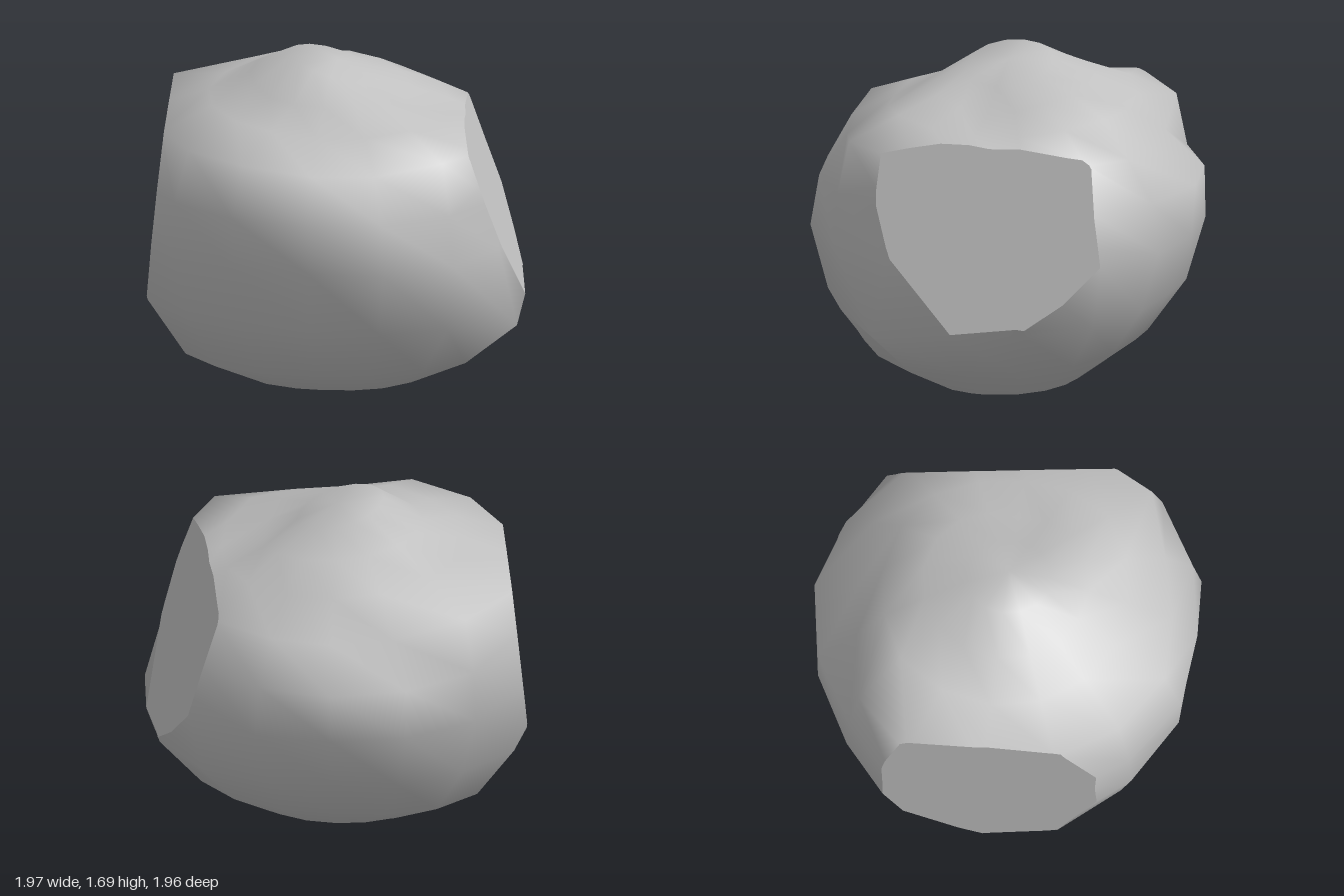
import * as THREE from 'three';
import { mergeVertices } from 'three/addons/utils/BufferGeometryUtils.js';

const CENTRE_Y = 0.8;
const SIDES = 16;

// A ring of distances from the centre given by a rule over the bearing,
// which starts at +x and turns through +z
const ring = (rule) => Array.from({ length: SIDES }, (_, j) => rule(Math.cos((j / SIDES) * Math.PI * 2)));

// Distances around the weathered middle of the rock, by elevation
const MIDDLE = [
  [0.97, 1.0, 0.97, 0.96, 0.95, 0.97, 1.0, 1.03, 1.05, 1.02, 0.97, 0.92, 0.885, 0.9, 0.93, 0.96],
  [1.03, 1.14, 1.02, 0.98, 0.95, 0.97, 1.0, 1.05, 1.06, 1.05, 0.99, 0.96, 0.91, 0.94, 1.0, 1.02],
  [1.05, 0.965, 1.0, 1.01, 0.94, 1.0, 1.03, 1.08, 1.1, 1.14, 1.03, 1.0, 0.975, 1.0, 1.03, 1.1],
  [1.1, 0.98, 1.01, 1.0, 1.0, 1.05, 1.05, 1.08, 1.14, 1.17, 1.05, 1.03, 1.03, 0.99, 0.97, 1.1],
  [1.0, 1.0, 1.05, 0.95, 0.97, 1.06, 1.07, 1.06, 1.1, 1.18, 1.1, 0.92, 0.87, 0.92, 0.99, 0.95],
  [0.83, 0.86, 0.89, 0.87, 0.86, 0.9, 0.9, 0.92, 0.93, 0.94, 0.97, 0.92, 0.91, 0.9, 0.88, 0.84],
  [0.74, 0.77, 0.82, 0.83, 0.83, 0.83, 0.83, 0.86, 0.88, 0.9, 0.9, 0.88, 0.87, 0.85, 0.82, 0.78],
];
const ELEVATIONS = [-90, -65, -40, -20, 0, 15, 30, 45, 60, 75, 90];

// Flat cuts: the rock keeps the side where normal . p <= limit
const CUTS = [
  { name: 'leftSplitFace', normal: new THREE.Vector3(1, 0.34, -0.16), limit: 1.12 },
  { name: 'rightSplitFace', normal: new THREE.Vector3(-1, 0.1, 0.1), limit: 1.0 },
  { name: 'baseFace', normal: new THREE.Vector3(0, -1, 0), limit: 0 },
];

// Uncut rock as a list of triangles whose corners carry smooth normals
function roughTriangles() {
  const rings = [
    ring(() => 0.9),
    ring((c) => 0.88 + 0.05 * c * c - 0.01 * c),
    ...MIDDLE,
    ring((c) => 0.85 - 0.07 * c),
    ring(() => 0.85),
  ];
  const positions = [];
  const index = [];
  const last = rings.length - 1;
  rings.forEach((radii, i) => {
    const phi = THREE.MathUtils.degToRad(90 - ELEVATIONS[i]);
    radii.forEach((r, j) => {
      const p = new THREE.Vector3().setFromSphericalCoords(r, phi, Math.PI / 2 - (j / SIDES) * Math.PI * 2);
      positions.push(p.x, p.y + CENTRE_Y, p.z);
      const a = i * SIDES + j;
      const b = i * SIDES + ((j + 1) % SIDES);
      if (i < last - 1) index.push(a, a + SIDES, b + SIDES);
      if (i > 0 && i < last) index.push(a, b + SIDES, b);
    });
  });
  const source = new THREE.BufferGeometry();
  source.setAttribute('position', new THREE.Float32BufferAttribute(positions, 3));
  source.setIndex(index);
  const merged = mergeVertices(source);
  merged.computeVertexNormals();
  const { position, normal } = merged.attributes;
  const corners = Array.from(merged.index.array, (k) => ({
    p: new THREE.Vector3().fromBufferAttribute(position, k),
    n: new THREE.Vector3().fromBufferAttribute(normal, k),
  }));
  return Array.from({ length: corners.length / 3 }, (_, t) => corners.slice(t * 3, t * 3 + 3));
}

// Trims the triangles at a plane and returns what is left plus the flat face
function cutTriangles(triangles, { normal, limit }) {
  const kept = [];
  const edges = [];
  for (const triangle of triangles) {
    const polygon = [];
    const crossing = [];
    triangle.forEach((a, k) => {
      const b = triangle[(k + 1) % 3];
      const da = normal.dot(a.p) - limit;
      const db = normal.dot(b.p) - limit;
      if (da <= 0) polygon.push(a);
      if (da <= 0 !== db <= 0) {
        const t = da / (da - db);
        const mid = { p: a.p.clone().lerp(b.p, t), n: a.n.clone().lerp(b.n, t).normalize() };
        polygon.push(mid);
        crossing.push(mid.p);
      }
    });
    for (let k = 2; k < polygon.length; k++) kept.push([polygon[0], polygon[k - 1], polygon[k]]);
    if (crossing.length === 2) edges.push(crossing);
  }
  const middle = new THREE.Vector3();
  edges.flat().forEach((p) => middle.addScaledVector(p, 0.5 / edges.length));
  const n = normal.clone().normalize();
  const face = edges.map(([p, q]) => {
    const turn = p.clone().sub(middle).cross(q.clone().sub(middle)).dot(n);
    return (turn > 0 ? [middle, p, q] : [middle, q, p]).map((v) => ({ p: v, n }));
  });
  return { kept, face };
}

function meshFrom(name, triangles, material) {
  const corners = triangles.flat();
  const geometry = new THREE.BufferGeometry();
  geometry.setAttribute('position', new THREE.Float32BufferAttribute(corners.flatMap((c) => c.p.toArray()), 3));
  geometry.setAttribute('normal', new THREE.Float32BufferAttribute(corners.flatMap((c) => c.n.toArray()), 3));
  const mesh = new THREE.Mesh(geometry, material);
  mesh.name = name;
  return mesh;
}

export function createModel() {
  const model = new THREE.Group();
  model.name = 'boulder';
  const stone = new THREE.MeshStandardMaterial({ color: 0xc0c0c0 });
  stone.name = 'grey stone';

  // Split sides and flat base
  let triangles = roughTriangles();
  for (const cut of CUTS) {
    const { kept, face } = cutTriangles(triangles, cut);
    triangles = kept;
    model.add(meshFrom(cut.name, face, stone));
  }

  // Rounded outside of the rock
  model.add(meshFrom('rock', triangles, stone));
  return model;
}
